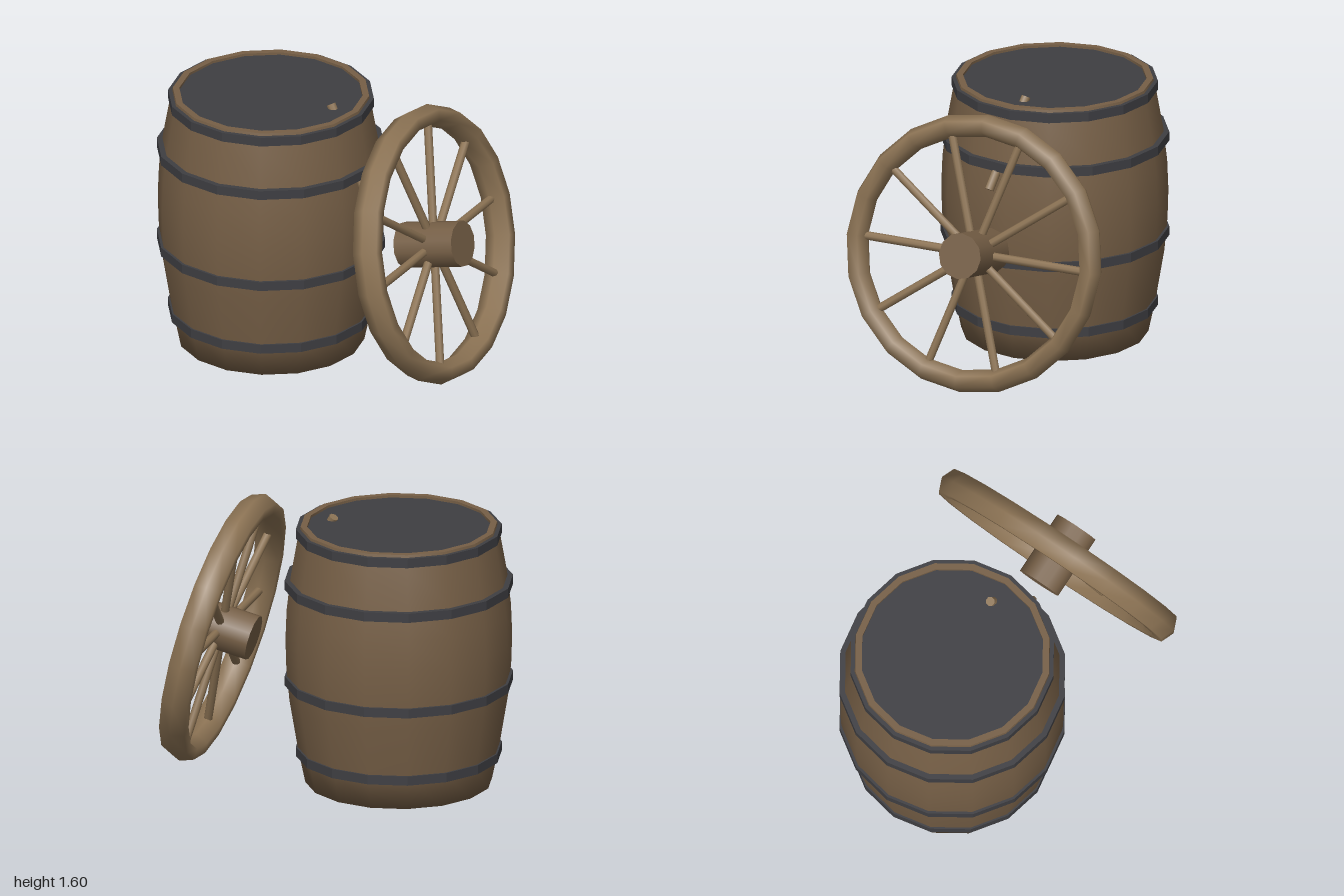
import * as THREE from 'three';

const material = (color) => new THREE.MeshStandardMaterial({ color });
const darkWood = material(0x765f46);
const lightWood = material(0x8c7354);
const iron = material(0x3e3e42);
const SIDES = 16;

function add(parent, name, geometry, mat) {
  const mesh = new THREE.Mesh(geometry, mat);
  mesh.name = name;
  parent.add(mesh);
  return mesh;
}

const lathe = (points) =>
  new THREE.LatheGeometry(points.map(([r, y]) => new THREE.Vector2(r, y)), SIDES);

// Round stick between two points
function addStick(parent, name, from, to, radius, mat) {
  const dir = to.clone().sub(from);
  const stick = add(parent, name, new THREE.CylinderGeometry(radius, radius, dir.length(), 8), mat);
  stick.position.copy(from).addScaledVector(dir, 0.5);
  stick.quaternion.setFromUnitVectors(new THREE.Vector3(0, 1, 0), dir.normalize());
  return stick;
}

// Flat iron band with its top, bottom, inner and outer faces kept sharp
function hoopGeometry(radius, height) {
  const shape = new THREE.Shape();
  const hole = new THREE.Path();
  for (let i = 0; i < SIDES; i++) {
    const a = (i / SIDES) * Math.PI * 2;
    const c = Math.cos(a), s = Math.sin(a);
    const inner = radius - 0.06;
    if (i === 0) {
      shape.moveTo(c * radius, s * radius);
      hole.moveTo(c * inner, s * inner);
    } else {
      shape.lineTo(c * radius, s * radius);
      hole.lineTo(c * inner, s * inner);
    }
  }
  shape.holes.push(hole);
  return new THREE.ExtrudeGeometry(shape, { depth: height, bevelEnabled: false }).rotateX(-Math.PI / 2);
}

function createBarrel() {
  const barrel = new THREE.Group();
  barrel.name = 'barrel';

  // Bulging staves, closed at the bottom
  add(barrel, 'staves', lathe([
    [0, 0], [0.54, 0], [0.582, 0.2], [0.632, 0.5], [0.65, 0.7], [0.655, 0.87],
    [0.648, 1.05], [0.625, 1.25], [0.588, 1.46], [0.568, 1.55],
  ]), darkWood);

  // Raised lip and the sunken lid inside it
  add(barrel, 'lipTop', lathe([[0.568, 1.55], [0.53, 1.55]]), darkWood);
  add(barrel, 'lipInside', lathe([[0.53, 1.55], [0.53, 1.52]]), darkWood);
  const lid = add(barrel, 'lid', new THREE.CylinderGeometry(0.532, 0.532, 0.02, SIDES), iron);
  lid.position.y = 1.525;

  // Iron hoops
  for (const [y, r] of [[0.16, 0.595], [0.59, 0.66], [1.17, 0.66], [1.48, 0.595]]) {
    add(barrel, 'hoop', hoopGeometry(r, 0.055), iron).position.y = y;
  }

  // Slanted stick passing through the lid and out of the side
  addStick(barrel, 'slantedStick', new THREE.Vector3(0.39, 1.555, -0.005),
    new THREE.Vector3(0.68, 1.065, 0.09), 0.028, lightWood);

  barrel.position.x = -0.34;
  return barrel;
}

function createWheel() {
  const wheel = new THREE.Group();
  wheel.name = 'wheel';

  // Rim: a six-sided ring, thicker along the axle
  const rim = new THREE.TorusGeometry(0.745, 0.065, 6, 20);
  rim.scale(1, 1, 1.4).rotateY(Math.PI / 2);
  add(wheel, 'rim', rim, lightWood);

  // Hub along the axle
  add(wheel, 'hub', new THREE.CylinderGeometry(0.134, 0.134, 0.387, 12).rotateZ(Math.PI / 2), darkWood);

  // Ten spokes
  for (let i = 0; i < 10; i++) {
    const a = (i / 10) * Math.PI * 2;
    const out = new THREE.Vector3(0, Math.sin(a), Math.cos(a));
    addStick(wheel, 'spoke', out.clone().multiplyScalar(0.08), out.clone().multiplyScalar(0.69), 0.025, lightWood);
  }

  // Leaning towards the barrel
  wheel.position.set(0.725, 0.816, 0);
  wheel.rotation.z = 0.237;
  return wheel;
}

export function createModel() {
  const model = new THREE.Group();
  model.name = 'barrelAndWheel';
  model.add(createBarrel(), createWheel());
  return model;
}
